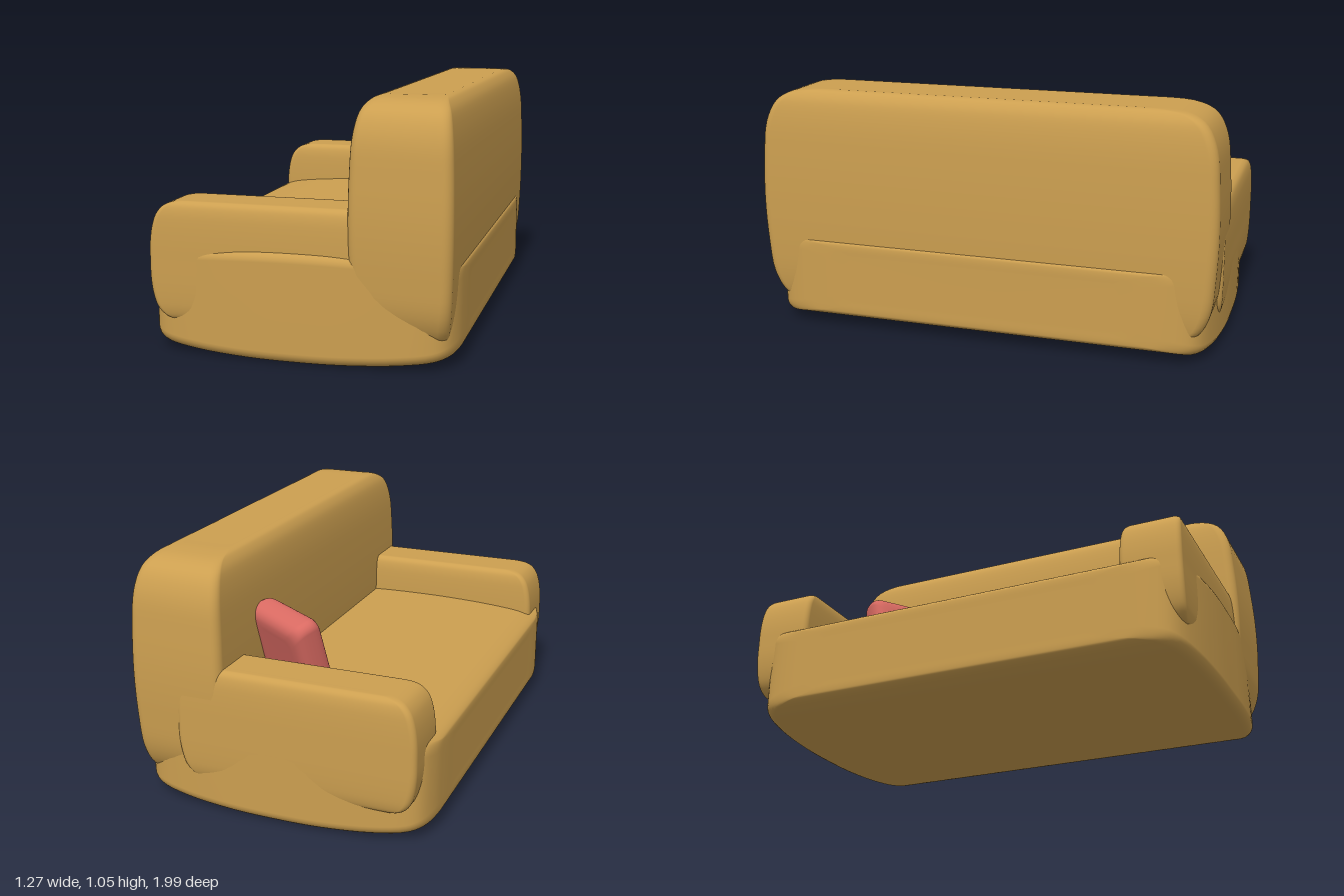
import * as THREE from 'three';

const fabric = new THREE.MeshStandardMaterial({ color: 0xcc9f50 });
const red = new THREE.MeshStandardMaterial({ color: 0xd96a62 });

// Soft cushion block: rounded-rectangle sections stacked along one axis.
// half = rows of [distance from middle, half size a, half size b], mirrored about the middle.
// Axis x: a = y, b = z. Axis y: a = z, b = x. Axis z: a = x, b = y.
function cushion(axis, half, radius) {
  const rows = [...half.slice(1).reverse().map(([t, a, b]) => [-t, a, b]), ...half];
  const curve = new THREE.CatmullRomCurve3(rows.map((r) => new THREE.Vector3(...r)));
  const steps = (rows.length - 1) * 4;
  const arc = 6;
  const ring = 4 * (arc + 1);
  const pos = [];
  const index = [];
  const put = (t, a, b) => {
    if (axis === 'x') pos.push(t, a, b);
    else if (axis === 'y') pos.push(b, t, a);
    else pos.push(a, b, t);
  };
  for (let i = 0; i <= steps; i++) {
    const { x: t, y: a, z: b } = curve.getPoint(i / steps);
    const r = Math.min(radius, a, b);
    for (let q = 0; q < 4; q++) {
      const sa = q === 0 || q === 3 ? 1 : -1;
      const sb = q < 2 ? 1 : -1;
      for (let k = 0; k <= arc; k++) {
        const ang = (q + k / arc) * Math.PI / 2;
        put(t, sa * (a - r) + r * Math.cos(ang), sb * (b - r) + r * Math.sin(ang));
      }
    }
  }
  for (let i = 0; i < steps; i++) {
    for (let j = 0; j < ring; j++) {
      const p = i * ring + j;
      const n = i * ring + (j + 1) % ring;
      index.push(p, n, p + ring, n, n + ring, p + ring);
    }
  }
  // End caps
  const end = half[half.length - 1][0];
  const c = pos.length / 3;
  put(-end, 0, 0);
  put(end, 0, 0);
  for (let j = 0; j < ring; j++) {
    const n = (j + 1) % ring;
    index.push(c, n, j, c + 1, steps * ring + j, steps * ring + n);
  }
  const geo = new THREE.BufferGeometry();
  geo.setAttribute('position', new THREE.Float32BufferAttribute(pos, 3));
  geo.setIndex(index);
  geo.computeVertexNormals();
  return geo;
}

export function createModel() {
  const group = new THREE.Group();
  const add = (name, geo, mat, x, y, z) => {
    const mesh = new THREE.Mesh(geo, mat);
    mesh.name = name;
    mesh.position.set(x, y, z);
    group.add(mesh);
    return mesh;
  };

  // Seat base, bulging at the ends and underneath
  add('seatBase', cushion('x', [
    [0, 0.225, 0.995], [0.2, 0.222, 0.992], [0.42, 0.21, 0.972], [0.55, 0.195, 0.94],
    [0.6, 0.18, 0.9], [0.628, 0.163, 0.82], [0.635, 0.145, 0.72], [0.635, 0.1, 0.6],
  ], 0.045), fabric, 0, 0.225, 0);

  // Tall backrest along the +x side
  add('backrest', cushion('y', [
    [0, 0.995, 0.205], [0.19, 0.988, 0.202], [0.34, 0.972, 0.194], [0.43, 0.93, 0.178],
    [0.47, 0.865, 0.155], [0.484, 0.76, 0.13], [0.484, 0.65, 0.1],
  ], 0.04), fabric, 0.425, 0.56, 0);

  // Pair of armrests
  const arm = cushion('y', [
    [0, 0.128, 0.515], [0.08, 0.128, 0.513], [0.15, 0.126, 0.502], [0.195, 0.122, 0.485],
    [0.227, 0.113, 0.455], [0.243, 0.095, 0.405], [0.245, 0.08, 0.36], [0.245, 0.06, 0.3],
  ], 0.025);
  add('leftArmrest', arm, fabric, -0.09, 0.375, 0.847);
  add('rightArmrest', arm, fabric, -0.09, 0.375, -0.867);

  // Throw pillow leaning in the corner
  const pillow = add('pillow', cushion('z', [
    [0, 0.178, 0.19], [0.03, 0.175, 0.187], [0.05, 0.166, 0.176],
    [0.063, 0.148, 0.157], [0.068, 0.12, 0.13], [0.068, 0.09, 0.1],
  ], 0.04), red, 0.07, 0.61, -0.625);
  pillow.rotation.set(-0.3, -0.53, 0.06, 'YXZ');

  return group;
}
